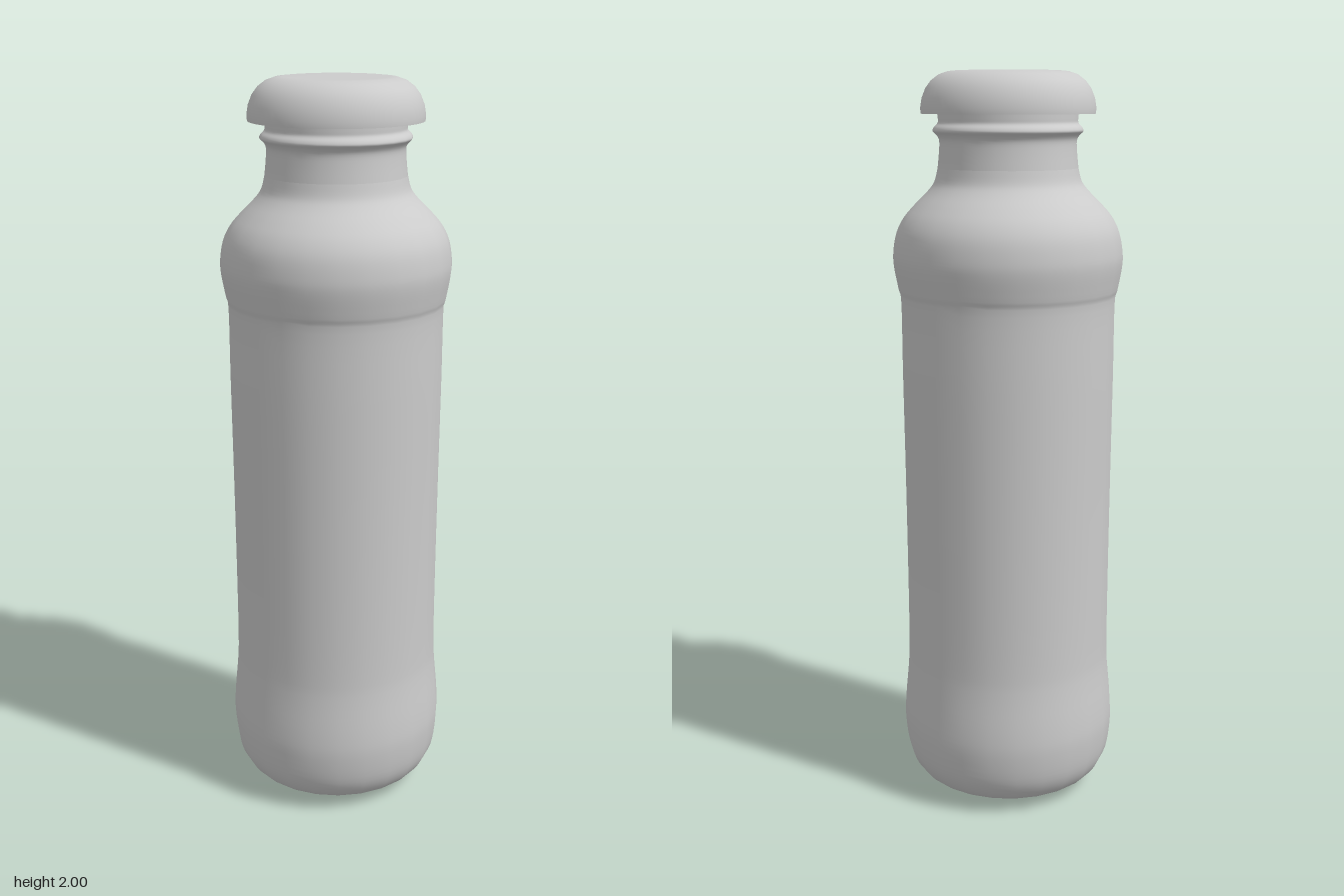
import * as THREE from 'three';

const material = new THREE.MeshStandardMaterial({ color: 0xcccccc, side: THREE.DoubleSide });

// Turns a [radius, height] profile, listed bottom to top, around the y axis.
function turned(name, profile, sides, samples = 0) {
  let points = profile.map(([r, y]) => new THREE.Vector2(r, y));
  if (samples) {
    points = new THREE.SplineCurve(points).getPoints(samples);
    points.forEach((p) => { p.x = Math.max(p.x, 0); });
  }
  const mesh = new THREE.Mesh(new THREE.LatheGeometry(points, sides), material);
  mesh.name = name;
  return mesh;
}

export function createModel() {
  const bottle = new THREE.Group();
  bottle.name = 'bottle';

  // Body: shallow domed base, swollen foot, straight waist, round shoulder
  bottle.add(turned('body', [
    [0, 0], [0.1, 0.007], [0.19, 0.018], [0.225, 0.027], [0.258, 0.05],
    [0.285, 0.1], [0.297, 0.18], [0.296, 0.25], [0.287, 0.35], [0.284, 0.42],
    [0.284, 0.6], [0.286, 0.9], [0.289, 1.2], [0.29, 1.39], [0.297, 1.43],
    [0.308, 1.49], [0.309, 1.53], [0.3, 1.58], [0.28, 1.62], [0.25, 1.655],
    [0.215, 1.69], [0.197, 1.715], [0.188, 1.75],
  ], 24, 88));

  // Neck with a bead below the cap
  bottle.add(turned('neck', [
    [0.188, 1.75], [0.184, 1.79], [0.183, 1.82], [0.19, 1.835], [0.2, 1.845],
    [0.197, 1.855], [0.187, 1.866], [0.186, 1.88], [0.186, 1.91],
  ], 24, 32));

  // Cap: rounded dome with a sharp lower rim and a flat underside
  const cap = new THREE.Group();
  cap.name = 'cap';
  cap.add(turned('capUnderside', [[0, 1.89], [0.231, 1.89]], 64));
  cap.add(turned('capDome', [
    [0.231, 1.89], [0.232, 1.905], [0.228, 1.93], [0.218, 1.955], [0.203, 1.975],
    [0.183, 1.99], [0.16, 1.998], [0.14, 2], [0, 2],
  ], 64));
  bottle.add(cap);

  return bottle;
}
